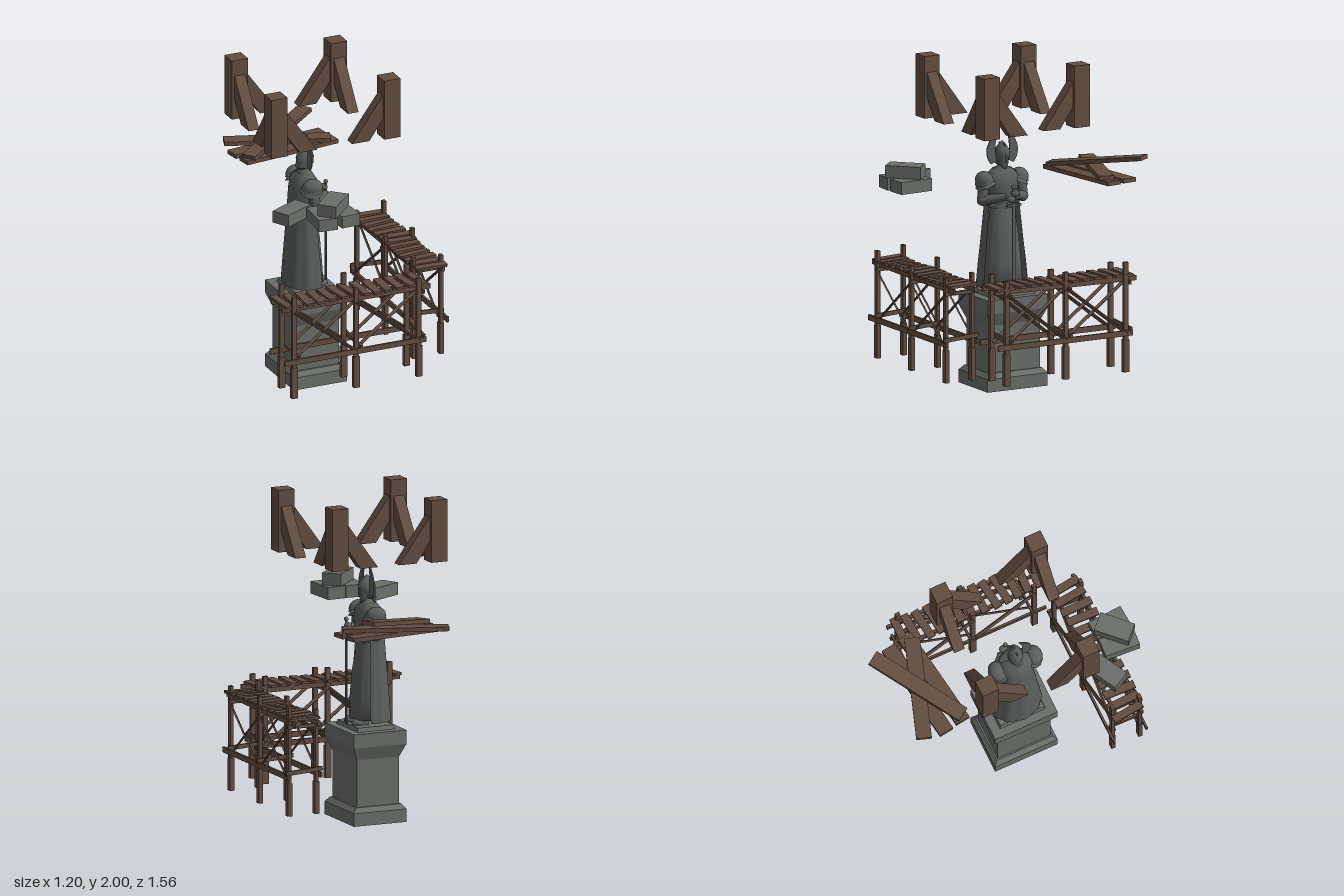
import * as THREE from 'three';

const mat = (name, color, side = THREE.FrontSide) => {
  const m = new THREE.MeshStandardMaterial({ color, side });
  m.name = name;
  return m;
};
const stone = mat('pedestalStone', 0x6a6f69);
const statueStone = mat('statueStone', 0x5a5f5c, THREE.DoubleSide);
const wood = mat('wood', 0x634d40);

const add = (parent, name, geo, material, x = 0, y = 0, z = 0) => {
  const m = new THREE.Mesh(geo, material);
  m.name = name;
  m.position.set(x, y, z);
  parent.add(m);
  return m;
};
const group = (parent, name, x = 0, y = 0, z = 0) => {
  const g = new THREE.Group();
  g.name = name;
  g.position.set(x, y, z);
  parent.add(g);
  return g;
};
const box = (p, name, material, w, h, d, x, y, z) =>
  add(p, name, new THREE.BoxGeometry(w, h, d), material, x, y, z);

// Straight bar between two points
function beam(p, name, a, b, w, h, material) {
  const A = new THREE.Vector3(...a), B = new THREE.Vector3(...b);
  const m = add(p, name, new THREE.BoxGeometry(w, h, A.distanceTo(B)), material);
  m.position.copy(A).add(B).multiplyScalar(0.5);
  m.quaternion.setFromUnitVectors(new THREE.Vector3(0, 0, 1), B.sub(A).normalize());
  return m;
}

// Rounded limb between two points, tapering from r0 to r1
function limb(p, name, a, b, r0, r1) {
  const A = new THREE.Vector3(...a), B = new THREE.Vector3(...b), L = A.distanceTo(B);
  const m = add(p, name, new THREE.CylinderGeometry(r1, r0, L, 12), statueStone);
  m.position.copy(A).add(B).multiplyScalar(0.5);
  m.quaternion.setFromUnitVectors(new THREE.Vector3(0, 1, 0), B.sub(A).normalize());
  return m;
}

// Smooth skin through rings [y, halfWidth, front, back], with optional folds
function loft(rings, t0 = 0, t1 = Math.PI * 2, fold = 0, n = 48) {
  const pos = [], idx = [];
  rings.forEach(([y, w, f, b], r) => {
    for (let j = 0; j <= n; j++) {
      const t = t0 + (t1 - t0) * j / n, c = Math.cos(t);
      const k = 1 + fold * Math.cos(10 * t) * (1 - r / rings.length);
      pos.push(w * Math.sin(t) * k, y, (c > 0 ? f : b) * c * k);
    }
  });
  for (let i = 0; i < rings.length - 1; i++)
    for (let j = 0; j < n; j++) {
      const a = i * (n + 1) + j, c = a + n + 1;
      idx.push(a, a + 1, c + 1, a, c + 1, c);
    }
  const g = new THREE.BufferGeometry();
  g.setAttribute('position', new THREE.Float32BufferAttribute(pos, 3));
  g.setIndex(idx);
  g.computeVertexNormals();
  return g;
}

// Box whose top has its own width and depth
function slab(p, name, y0, y1, w0, d0, w1, d1) {
  const g = new THREE.BoxGeometry(w0, y1 - y0, d0), v = g.attributes.position;
  for (let i = 0; i < v.count; i++)
    if (v.getY(i) > 0) v.setXYZ(i, v.getX(i) * w1 / w0, v.getY(i), v.getZ(i) * d1 / d0);
  g.computeVertexNormals();
  return add(p, name, g, stone, 0, (y0 + y1) / 2, 0);
}

function buildPedestal(root) {
  const p = group(root, 'pedestal', -0.142, 0, 0.04);
  slab(p, 'base', 0, 0.08, 0.35, 0.416, 0.35, 0.416);
  slab(p, 'baseBevel', 0.08, 0.11, 0.35, 0.416, 0.3, 0.37);
  slab(p, 'shaft', 0.11, 0.4, 0.28, 0.35, 0.28, 0.35);
  slab(p, 'corniceFlare', 0.4, 0.48, 0.28, 0.35, 0.35, 0.416);
  slab(p, 'cornice', 0.48, 0.565, 0.35, 0.416, 0.35, 0.416);
  slab(p, 'statuePlinth', 0.565, 0.59, 0.25, 0.305, 0.235, 0.29);
}

function buildStatue(root) {
  const s = group(root, 'statue', -0.15, 0, 0.042);
  s.rotation.y = Math.PI / 2;
  const M = statueStone;
  add(s, 'skirt', loft([[0.63, 0, 0, 0], [0.62, 0.128, 0.105, 0.09], [0.75, 0.117, 0.098, 0.085],
    [0.9, 0.104, 0.086, 0.075], [1.02, 0.088, 0.066, 0.06], [1.11, 0.075, 0.052, 0.05]], 0, Math.PI * 2, 0.03), M);
  add(s, 'torso', loft([[1.08, 0.076, 0.052, 0.055], [1.14, 0.085, 0.062, 0.06], [1.22, 0.1, 0.075, 0.07],
    [1.28, 0.107, 0.066, 0.068], [1.315, 0.075, 0.045, 0.055], [1.34, 0.034, 0.032, 0.034], [1.37, 0.03, 0.03, 0.03]]), M);
  add(s, 'belt', loft([[1.09, 0.078, 0.056, 0.058], [1.093, 0.088, 0.063, 0.064], [1.118, 0.086, 0.062, 0.062],
    [1.12, 0.076, 0.054, 0.055]]), M);
  add(s, 'cape', loft([[0.61, 0.163, 0.12, 0.138], [0.75, 0.15, 0.11, 0.13], [0.9, 0.133, 0.09, 0.12],
    [1.1, 0.112, 0.07, 0.107], [1.22, 0.112, 0.06, 0.098], [1.29, 0.112, 0.05, 0.085], [1.33, 0.06, 0.04, 0.055]],
    Math.PI * 0.38, Math.PI * 1.62, 0.025), M);

  // Head with pointed helmet
  add(s, 'head', loft([[1.32, 0, 0, 0], [1.328, 0.02, 0.04, 0.02], [1.36, 0.034, 0.046, 0.046], [1.41, 0.038, 0.047, 0.05]]), M);
  add(s, 'helmet', loft([[1.36, 0.041, 0.01, 0.058], [1.4, 0.044, 0.04, 0.057], [1.42, 0.045, 0.057, 0.057],
    [1.45, 0.038, 0.048, 0.048], [1.475, 0.022, 0.026, 0.026], [1.5, 0, 0, 0]]), M);
  box(s, 'noseGuard', M, 0.01, 0.05, 0.012, 0, 1.395, 0.049);
  box(s, 'helmetCrest', M, 0.008, 0.06, 0.07, 0, 1.455, 0);

  const wing = new THREE.Shape();
  wing.moveTo(0.024, 1.577);
  wing.quadraticCurveTo(0.085, 1.525, 0.105, 1.46);
  wing.quadraticCurveTo(0.115, 1.4, 0.077, 1.358);
  wing.lineTo(0.042, 1.375);
  wing.quadraticCurveTo(0.062, 1.49, 0.024, 1.577);
  const wingGeo = new THREE.ExtrudeGeometry(wing, { depth: 0.008, bevelEnabled: false, curveSegments: 8 });

  for (const k of [1, -1]) {
    const side = k > 0 ? 'left' : 'right';
    const w = add(s, side + 'HelmetWing', wingGeo, M, 0, 0, -0.004);
    w.scale.x = k;
    // Layered shoulder armour with a flared rim
    const sh = group(s, side + 'Pauldron', k * 0.122, 1.265, -0.005);
    sh.rotation.z = -k * 0.4;
    const dome = add(sh, 'dome', new THREE.SphereGeometry(0.055, 20, 10, 0, Math.PI * 2, 0, Math.PI / 2), M);
    dome.scale.set(0.95, 1, 1.15);
    for (let i = 0; i < 2; i++) {
      const rim = add(sh, 'rim', new THREE.CylinderGeometry(0.046, 0.062 + i * 0.005, 0.03, 12, 1, true), M, 0, 0.004 - i * 0.022, 0);
      rim.scale.z = 1.1;
    }
    // Arms folded onto the sword
    const elbow = [k * 0.14, 1.145, 0.005], wrist = [k * 0.035, 1.175, 0.115];
    limb(s, side + 'UpperArm', [k * 0.125, 1.27, -0.005], elbow, 0.037, 0.032);
    add(s, side + 'Elbow', new THREE.SphereGeometry(0.034, 14, 10), M, ...elbow);
    limb(s, side + 'Forearm', elbow, wrist, 0.034, 0.021);
    const hand = add(s, side + 'Hand', new THREE.SphereGeometry(0.024, 14, 10), M, k * 0.014, k > 0 ? 1.195 : 1.16, 0.13);
    hand.scale.set(1.15, 0.9, 1);
    const foot = add(s, side + 'Foot', new THREE.SphereGeometry(0.034, 14, 8), M, k * 0.055, 0.602, 0.075);
    foot.scale.set(0.9, 0.75, 1.5);
    limb(s, side + 'Leg', [k * 0.055, 0.59, 0.045], [k * 0.05, 0.72, 0.03], 0.03, 0.03);
  }

  // Sword resting point down
  const sw = group(s, 'sword', 0, 0, 0.137);
  box(sw, 'blade', M, 0.02, 0.53, 0.007, 0, 0.855, 0);
  box(sw, 'guard', M, 0.1, 0.012, 0.014, 0, 1.125, 0);
  add(sw, 'grip', new THREE.CylinderGeometry(0.008, 0.008, 0.11, 10), M, 0, 1.175, 0);
  add(sw, 'pommel', new THREE.SphereGeometry(0.014, 12, 8), M, 0, 1.235, 0);
}

function buildScaffold(root, name, x, z, turn, seed) {
  const s = group(root, name, x, 0, z);
  s.rotation.y = turn;
  const wobble = (i) => Math.sin(i * 7.3 + seed * 2.1);
  const posts = [-0.415, -0.005, 0.41];
  for (const k of [1, -1]) {
    posts.forEach((px, i) => {
      const h = 0.66 + 0.02 * wobble(i + k);
      box(s, 'post', wood, 0.03, h, 0.022, px, 0.16 + h / 2, k * 0.09);
      box(s, 'postFoot', wood, 0.038, 0.2, 0.028, px, 0.26, k * 0.09);
    });
    beam(s, 'deckRail', [-0.49, 0.738, k * 0.074], [0.49, 0.73, k * 0.074], 0.02, 0.03, wood);
    beam(s, 'lowerRail', [-0.485, 0.4, k * 0.107], [0.45, 0.402, k * 0.107], 0.014, 0.034, wood);
    // Crossed braces in both bays
    for (let i = 0; i < 2; i++) {
      const a = posts[i], b = posts[i + 1];
      beam(s, 'brace', [a, 0.4, k * 0.073], [b, 0.72, k * 0.073], 0.01, 0.02, wood);
      beam(s, 'brace', [a, 0.72, k * 0.105], [b, 0.4, k * 0.105], 0.01, 0.02, wood);
    }
  }
  // Ties across the width
  for (const px of posts) {
    beam(s, 'tie', [px + 0.025, 0.44, -0.12], [px + 0.025, 0.425, 0.12], 0.014, 0.026, wood);
    beam(s, 'tie', [px + 0.025, 0.71, -0.11], [px + 0.025, 0.71, 0.11], 0.014, 0.022, wood);
  }
  // Loose deck boards
  for (let i = 0; i < 13; i++) {
    const b = box(s, 'deckBoard', wood, 0.05, 0.016, 0.2, -0.455 + i * 0.074, 0.756, 0.008 * wobble(i + 3));
    b.rotation.set(0.02 * wobble(i + 5), 0.09 * wobble(i) + 0.04, 0.06 * wobble(i + 9));
  }
}

// Hanging roof posts, each with two slanted struts
function buildPosts(root) {
  const strut = new THREE.Shape([[0.04, 1.915], [0.053, 1.9], [0.258, 1.618], [0.143, 1.618], [0.04, 1.765]]
    .map(([a, b]) => new THREE.Vector2(a, b)));
  const geo = new THREE.ExtrudeGeometry(strut, { depth: 0.07, bevelEnabled: false });
  geo.translate(0, 0, -0.035);
  for (const [x, z, ax, az] of [[-0.454, -0.287, 1, 1], [0.2, -0.283, -1, 1], [-0.489, 0.365, 1, -1], [0.253, 0.374, -1, -1]]) {
    const p = group(root, 'bracedPost', x, 0, z);
    box(p, 'post', wood, 0.107, 0.382, 0.107, 0, 1.809, 0);
    add(p, 'strutAcross', geo, wood).rotation.y = ax > 0 ? 0 : Math.PI;
    add(p, 'strutAlong', geo, wood).rotation.y = -az * Math.PI / 2;
  }
}

function buildPiles(root) {
  const planks = group(root, 'plankPile');
  for (const [x, y, z, turn, tilt] of [[-0.058, 1.258, -0.563, 0.133, 0], [-0.035, 1.258, -0.444, 0.133, 0],
    [-0.06, 1.286, -0.56, -0.33, 0], [-0.06, 1.328, -0.562, 0.583, 0.145]]) {
    const b = box(planks, 'plank', wood, 0.645, 0.026, 0.094, x, y, z);
    b.rotation.set(0, turn, tilt);
  }
  const blocks = group(root, 'blockPile');
  for (const [x, y, z, turn] of [[-0.45, 1.283, 0.51, 0.49], [-0.317, 1.283, 0.658, 1.5],
    [-0.18, 1.283, 0.655, 1.63], [-0.245, 1.36, 0.66, Math.PI / 4]])
    box(blocks, 'block', stone, 0.22, 0.076, 0.12, x, y, z).rotation.y = turn;
}

export function createModel() {
  const root = new THREE.Group();
  root.name = 'statueUnderRepair';
  buildPedestal(root);
  buildStatue(root);
  buildScaffold(root, 'frontScaffold', -0.105, 0.605, 0, 1);
  buildScaffold(root, 'sideScaffold', 0.482, 0.012, Math.PI / 2, 2);
  buildPosts(root);
  buildPiles(root);
  return root;
}
